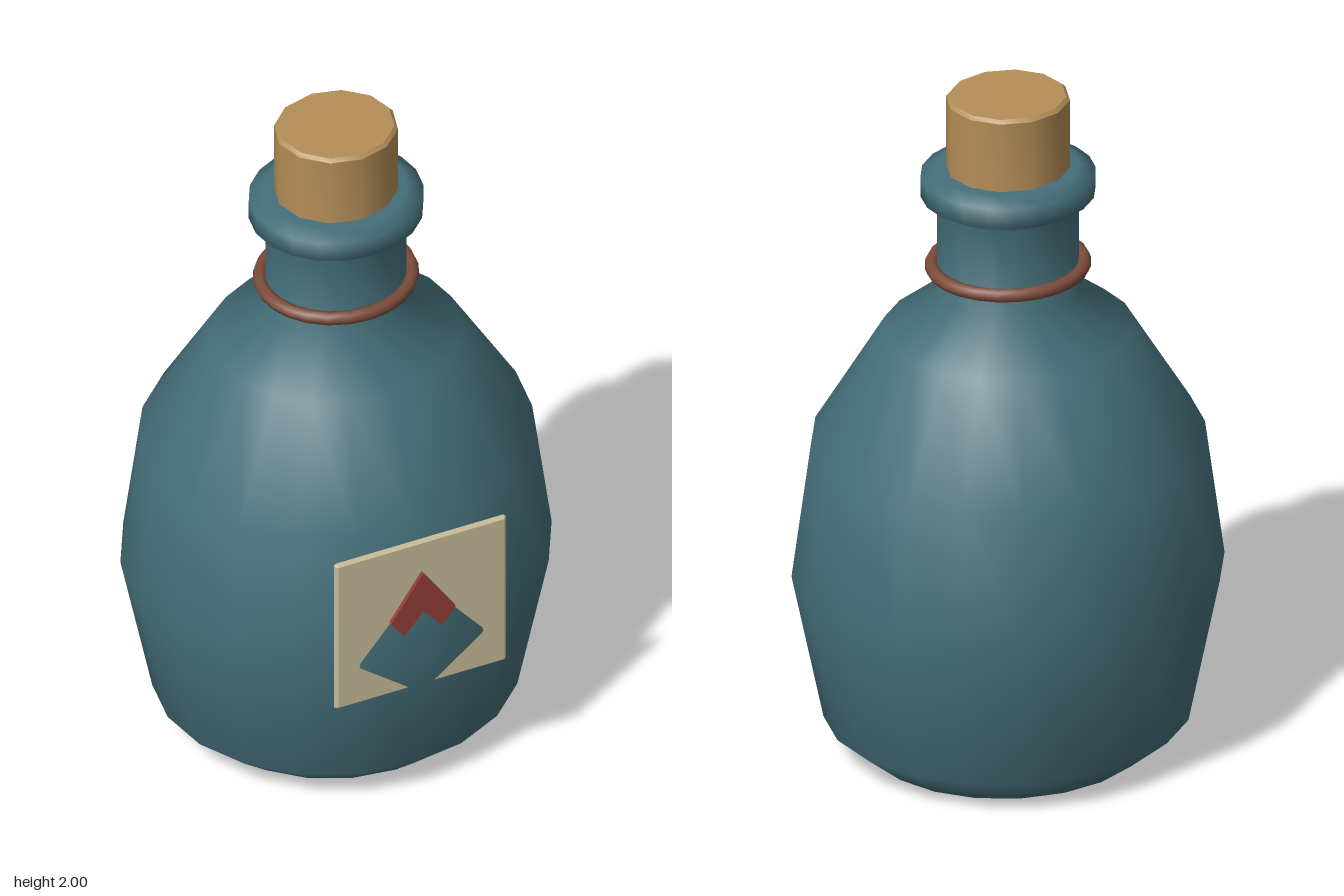
import * as THREE from 'three';
import { toCreasedNormals } from 'three/addons/utils/BufferGeometryUtils.js';

const DEPTH = 0.94; // the bottle is slightly flattened front to back

function part(name, geometry, color) {
  const mesh = new THREE.Mesh(geometry, new THREE.MeshStandardMaterial({ color }));
  mesh.name = name;
  return mesh;
}

function lathe(profile, sides) {
  const points = profile.map(([r, y]) => new THREE.Vector2(r, y));
  return new THREE.LatheGeometry(points, sides).scale(1, 1, DEPTH);
}

// Flat plate with a bevelled rim, its front face at z = front
function plate(corners, thickness, bevel, front) {
  const shape = new THREE.Shape(corners.map(([x, y]) => new THREE.Vector2(x, y)));
  const depth = thickness - 2 * bevel;
  const geometry = new THREE.ExtrudeGeometry(shape, {
    depth, bevelEnabled: bevel > 0, bevelThickness: bevel, bevelSize: bevel,
    bevelOffset: -bevel, bevelSegments: 1,
  });
  return geometry.translate(0, 0, front - depth - bevel);
}

export function createModel() {
  const group = new THREE.Group();
  group.name = 'corkedBottle';

  // Glass body, neck and lip in one turned profile
  group.add(part('bottle', lathe([
    [0, 0], [0.4, 0], [0.52, 0.1], [0.61, 0.54], [0.555, 0.95], [0.355, 1.28],
    [0.2, 1.4], [0.2, 1.67], [0.247, 1.7], [0.247, 1.76], [0.2, 1.78], [0, 1.78],
  ], 20), 0x456f7a));

  // Cork with a fine chamfer on top
  group.add(part('cork', toCreasedNormals(lathe([
    [0, 1.7], [0.175, 1.7], [0.175, 1.99], [0.165, 2], [0, 2],
  ], 12), 0.65), 0xb48e58));

  // Cord around the neck
  const cord = new THREE.TorusGeometry(0.215, 0.02, 8, 24);
  cord.rotateX(Math.PI / 2).scale(1, 1, DEPTH).translate(0, 1.477, 0);
  group.add(part('neckCord', cord, 0x7d4c3a));

  // Paper label, which the belly of the bottle pokes through
  const w = 0.265, bottom = 0.41, top = 0.915, c = 0.006;
  group.add(part('label', plate([
    [-w + c, bottom], [w - c, bottom], [w, bottom + c], [w, top - c],
    [w - c, top], [-w + c, top], [-w, top - c], [-w, bottom + c],
  ], 0.02, 0.008, 0.544), 0xcabd9b));

  // Diamond emblem, its lower half sunk into the glass
  group.add(part('emblem', plate(
    [[0, 0.53], [0.1, 0.665], [0, 0.812], [-0.1, 0.665]], 0.02, 0, 0.556), 0x943e37));

  return group;
}
